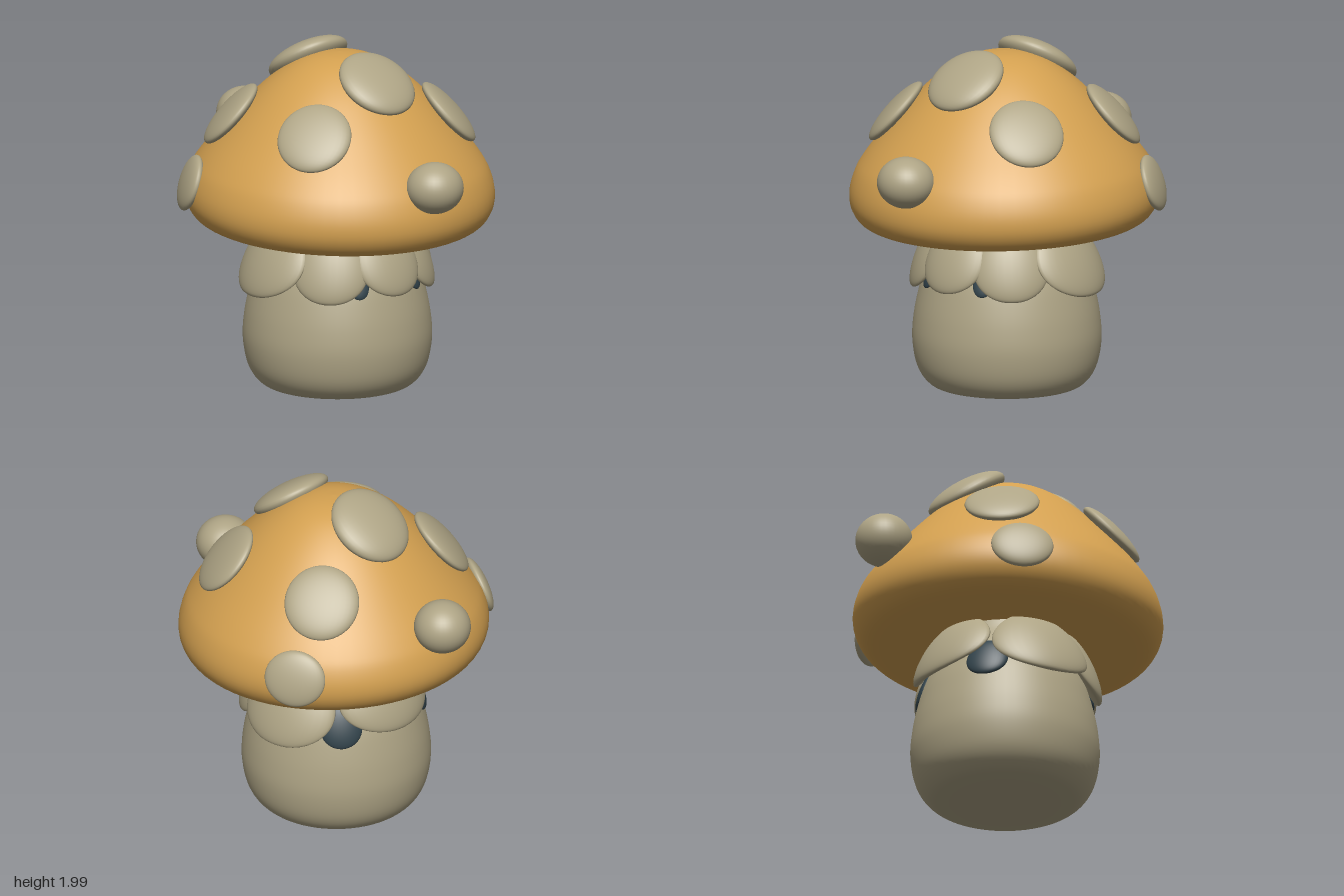
import * as THREE from 'three';
import { mergeVertices } from 'three/addons/utils/BufferGeometryUtils.js';

const rad = THREE.MathUtils.degToRad;

export function createModel() {
  const group = new THREE.Group();
  const make = (name, color) => {
    const m = new THREE.MeshStandardMaterial({ color });
    m.name = name;
    return m;
  };
  const orange = make('cap orange', 0xd3a050);
  const cream = make('cream', 0xaea485);
  const slate = make('dark slate', 0x33444c);

  const add = (name, geometry, material) => {
    const mesh = new THREE.Mesh(geometry, material);
    mesh.name = name;
    group.add(mesh);
    return mesh;
  };
  const curve = pts => new THREE.SplineCurve(pts.map(p => new THREE.Vector2(...p)));
  const lathe = pts => {
    const profile = curve(pts).getPoints(60);
    profile.forEach(p => { p.x = Math.max(p.x, 0); });
    return new THREE.LatheGeometry(profile, 64);
  };

  // Stem: a plump, flat-bottomed body narrowing under the cap
  const stem = add('stem', lathe([
    [0, 0.005], [0.2, 0.003], [0.37, 0.01], [0.45, 0.05], [0.505, 0.14], [0.53, 0.28],
    [0.522, 0.42], [0.495, 0.56], [0.46, 0.68], [0.4, 0.82], [0.33, 0.94], [0.3, 1.04],
  ]), cream);
  stem.position.z = -0.02;

  // Cap: domed, with a rounded rim and a shallow hollow below; the rim sits lower in front
  const capGeo = lathe([
    [0, 1.02], [0.25, 1.0], [0.42, 0.965], [0.58, 0.945], [0.72, 0.95], [0.81, 0.985],
    [0.86, 1.06], [0.868, 1.15], [0.84, 1.25], [0.79, 1.335], [0.7, 1.45], [0.55, 1.62],
    [0.4, 1.765], [0.25, 1.87], [0.12, 1.918], [0, 1.93],
  ]);
  const cp = capGeo.attributes.position;
  for (let i = 0; i < cp.count; i++) {
    const y = cp.getY(i);
    cp.setY(i, y - 0.035 * cp.getZ(i) * THREE.MathUtils.clamp((1.5 - y) / 0.4, 0, 1));
  }
  add('cap', capGeo, orange);

  // Lobe: a flattened ball wrapped around the stem at a given angle
  const lobe = (name, material, angle, halfAngle, yc, h, thickness, radiusAt) => {
    let geo = new THREE.SphereGeometry(1, 36, 28);
    geo.deleteAttribute('uv');
    geo.deleteAttribute('normal');
    geo = mergeVertices(geo, 1e-4);
    const p = geo.attributes.position;
    for (let i = 0; i < p.count; i++) {
      const y = yc + h * p.getY(i);
      const a = rad(angle + halfAngle * p.getX(i));
      const r = radiusAt(y) + thickness * p.getZ(i);
      p.setXYZ(i, r * Math.sin(a), y, r * Math.cos(a) - 0.01);
    }
    geo.computeVertexNormals();
    return add(name, geo, material);
  };

  // Collar petals flare outwards towards their tips
  const flare = out => y => {
    const t = THREE.MathUtils.clamp((1.04 - y) / 0.44, 0, 1);
    return 0.29 + (out - 0.29) * Math.pow(t, 0.62);
  };
  lobe('frontPetal', cream, 0, 27, 0.83, 0.21, 0.05, flare(0.54));
  lobe('backPetal', cream, 180, 44, 0.85, 0.2, 0.05, flare(0.55));
  for (const s of [-1, 1]) {
    lobe('frontSidePetal', cream, 45 * s, 28, 0.81, 0.22, 0.05, flare(0.52));
    lobe('sidePetal', cream, 98 * s, 36, 0.81, 0.22, 0.05, flare(0.57));
    // Dark patches showing between the petals
    const body = y => 0.465 - 0.35 * (y - 0.68);
    lobe('backDarkPatch', slate, 138 * s, 15, 0.7, 0.12, 0.035, body);
    lobe('frontDarkPatch', slate, 25 * s, 7, 0.68, 0.07, 0.02, body);
  }

  // Cap spots: flattened balls facing along the cap surface
  const spot = (name, [x, y, z], elevation, width, height, depth) => {
    const mesh = add(name, new THREE.SphereGeometry(1, 36, 24), cream);
    mesh.position.set(x, y, z);
    mesh.rotation.order = 'YXZ';
    mesh.rotation.set(-rad(elevation), Math.atan2(x, z), 0);
    mesh.scale.set(width, height, depth);
  };
  spot('frontTopSpot', [0, 1.805, 0.33], 54, 0.225, 0.23, 0.075);
  spot('backTopSpot', [0, 1.84, -0.28], 56, 0.23, 0.24, 0.085);
  for (const s of [-1, 1]) {
    spot('frontSideSpot', [0.485 * s, 1.575, 0.37], 42, 0.21, 0.215, 0.055);
    spot('backSideSpot', [0.485 * s, 1.575, -0.37], 42, 0.21, 0.215, 0.055);
    spot('lowSideSpot', [0.745 * s, 1.21, -0.41], 18, 0.175, 0.16, 0.05);
  }

  // Round knobs at the front and back of the cap
  spot('frontKnob', [0, 1.305, 0.84], 0, 0.165, 0.145, 0.16);
  spot('backKnob', [0, 1.41, -0.84], 0, 0.16, 0.15, 0.16);

  return group;
}
